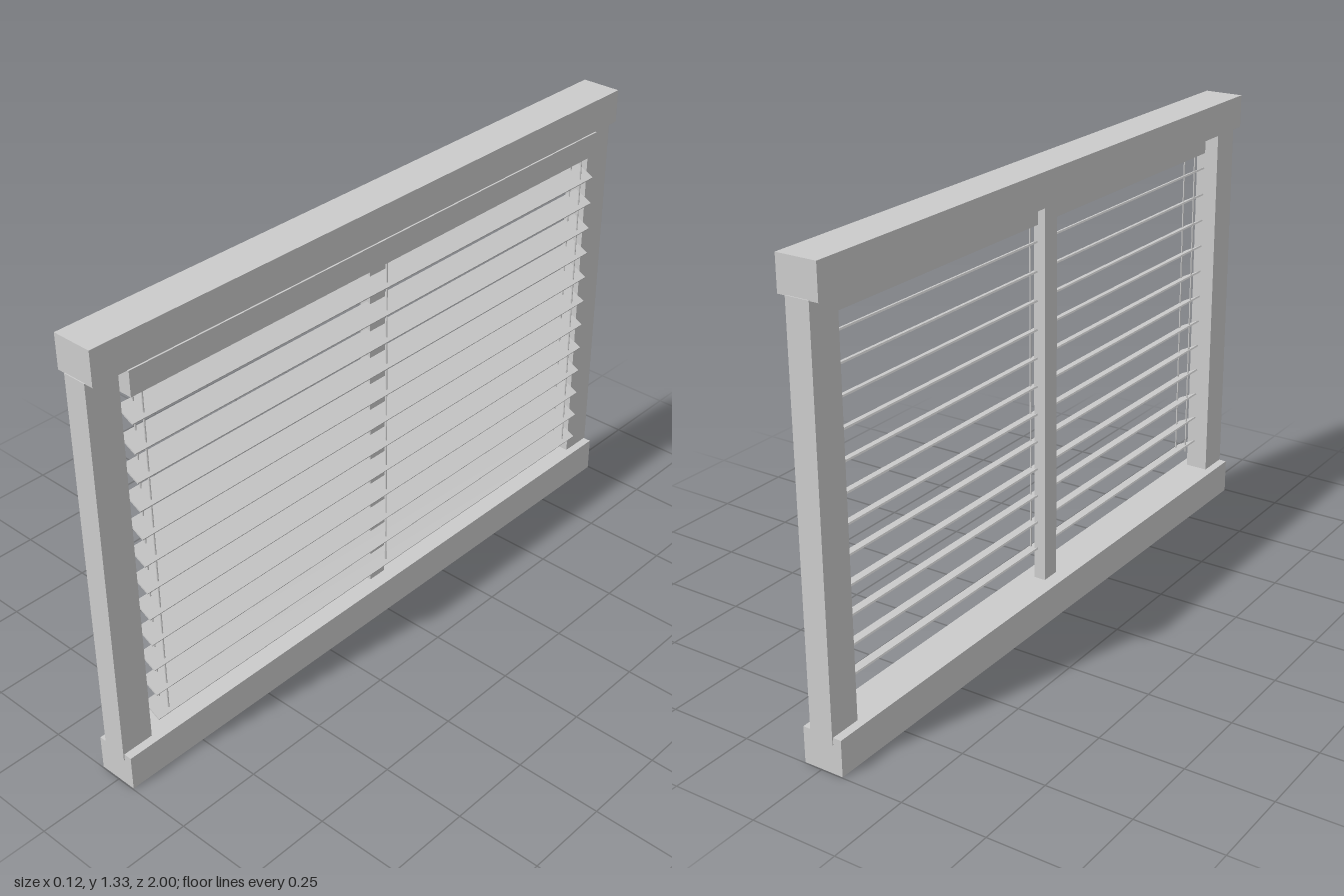
import * as THREE from 'three';

const material = new THREE.MeshStandardMaterial({ color: 0xcccccc, flatShading: true });

// Box given by its lower and upper limits on each axis
function box(name, [x0, x1], [y0, y1], [z0, z1]) {
  const mesh = new THREE.Mesh(new THREE.BoxGeometry(x1 - x0, y1 - y0, z1 - z0), material);
  mesh.position.set((x0 + x1) / 2, (y0 + y1) / 2, (z0 + z1) / 2);
  mesh.name = name;
  return mesh;
}

export function createModel() {
  const model = new THREE.Group();
  model.name = 'windowWithBlind';

  // Window frame
  const frame = new THREE.Group();
  frame.name = 'frame';
  frame.add(
    box('bottomRail', [-0.065, 0.055], [0, 0.105], [-0.997, 0.997]),
    box('topRail', [-0.065, 0.055], [1.235, 1.333], [-0.997, 0.997]),
    box('frontPost', [-0.04, 0.03], [0.085, 1.237], [0.902, 1]),
    box('backPost', [-0.04, 0.03], [0.085, 1.237], [-1, -0.902]),
    box('mullion', [-0.0225, 0.0125], [0.1, 1.24], [-0.03, 0.03])
  );

  // Blind hanging from its head rail
  const blind = new THREE.Group();
  blind.name = 'blind';
  blind.add(box('headRail', [-0.001, 0.06], [1.165, 1.236], [-0.895, 0.895]));

  // Tilted slats
  const slatGeometry = new THREE.BoxGeometry(0.063, 0.005, 1.79);
  for (let i = 0; i < 12; i++) {
    const slat = new THREE.Mesh(slatGeometry, material);
    slat.name = 'slat';
    slat.position.set(0.029, 0.187 + i * 0.0833, 0);
    slat.rotation.z = -0.46;
    blind.add(slat);
  }

  // Pairs of cords through the slats
  const cordGeometry = new THREE.CylinderGeometry(0.0025, 0.0025, 0.99, 8);
  for (const z of [-0.85, 0, 0.85]) {
    for (const x of [0.01, 0.045]) {
      const cord = new THREE.Mesh(cordGeometry, material);
      cord.name = 'cord';
      cord.position.set(x, 0.673, z);
      blind.add(cord);
    }
  }

  model.add(frame, blind);
  return model;
}
